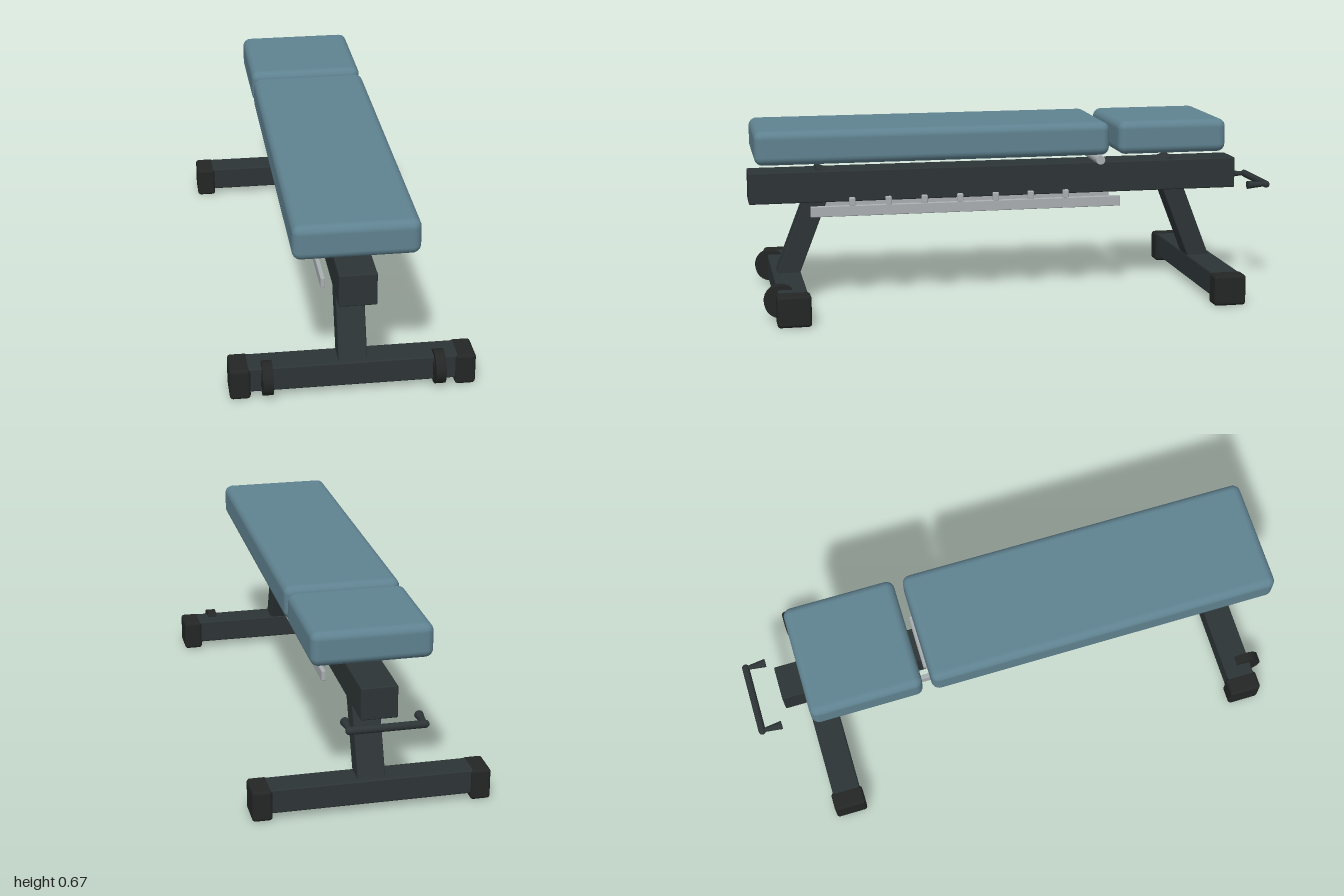
import * as THREE from 'three';
import { RoundedBoxGeometry } from 'three/addons/geometries/RoundedBoxGeometry.js';

const mat = (color) => new THREE.MeshStandardMaterial({ color });

export function createModel() {
  const group = new THREE.Group();
  const frame = mat(0x2d3436), rubber = mat(0x232625), steel = mat(0xa9aeb1), vinyl = mat(0x5f8290);

  const add = (name, geometry, material, x, y, z) => {
    const mesh = new THREE.Mesh(geometry, material);
    mesh.name = name;
    mesh.position.set(x, y, z);
    group.add(mesh);
    return mesh;
  };
  const block = (name, material, size, pos, r, seg = 2) =>
    add(name, new RoundedBoxGeometry(...size, seg, r), material, ...pos);
  // cylinder lying along x
  const rod = (name, material, r, length, pos, sides = 24) =>
    add(name, new THREE.CylinderGeometry(r, r, length, sides).rotateZ(Math.PI / 2), material, ...pos);

  // Upholstery
  block('backPad', vinyl, [0.43, 0.125, 1.32], [0, 0.61, 0.322], 0.03, 4);
  block('seatPad', vinyl, [0.43, 0.125, 0.42], [0, 0.61, -0.582], 0.03, 4);

  // Main beam and pad hinge
  block('mainBeam', frame, [0.13, 0.118, 1.88], [0, 0.44, 0.06], 0.005);
  rod('hingeTube', steel, 0.0175, 0.206, [0, 0.512, -0.33]);

  // Slanted leg between two points in the side plane
  const leg = (name, yTop, zTop, yBottom, zBottom) => {
    const dy = yTop - yBottom, dz = zTop - zBottom;
    const mesh = block(name, frame, [0.1, Math.hypot(dy, dz), 0.08],
      [0, (yTop + yBottom) / 2, (zTop + zBottom) / 2], 0.005);
    mesh.rotation.x = Math.atan2(dz, dy);
  };
  leg('frontLeg', 0.5, 0.708, 0.09, 0.868);
  leg('rearLeg', 0.5, -0.59, 0.09, -0.75);

  // Cross feet with end caps
  for (const [name, z] of [['front', 0.866], ['rear', -0.75]]) {
    block(name + 'Foot', frame, [0.8, 0.09, 0.106], [0, 0.069, z], 0.006);
    for (const s of [-1, 1])
      block(name + 'FootCap', rubber, [0.072, 0.115, 0.122], [s * 0.391, 0.0575, z], 0.012, 3);
  }

  for (const s of [-1, 1]) {
    // Transport wheels
    rod('wheel', rubber, 0.06, 0.036, [s * 0.298, 0.07, 0.907], 32);
    rod('wheelHub', rubber, 0.034, 0.042, [s * 0.298, 0.075, 0.907]);

    // Adjustment rails with pegs
    block('adjustmentRail', steel, [0.016, 0.04, 1.186], [s * 0.088, 0.351, 0.183], 0.003);
    for (let i = 0; i < 7; i++)
      block('railPeg', steel, [0.016, 0.034, 0.024], [s * 0.088, 0.384, 0.62 - i * 0.136], 0.005);

    // Flared handle ends, pointing towards the beam
    add('handleGrip', new THREE.CylinderGeometry(0.016, 0.007, 0.075, 20).rotateX(Math.PI / 2),
      frame, s * 0.128, 0.4, -0.948);
    add('handleCorner', new THREE.SphereGeometry(0.0135, 16, 12), frame, s * 0.13, 0.4, -0.9865);
  }
  rod('handleBar', frame, 0.0135, 0.26, [0, 0.4, -0.9865]);

  return group;
}
